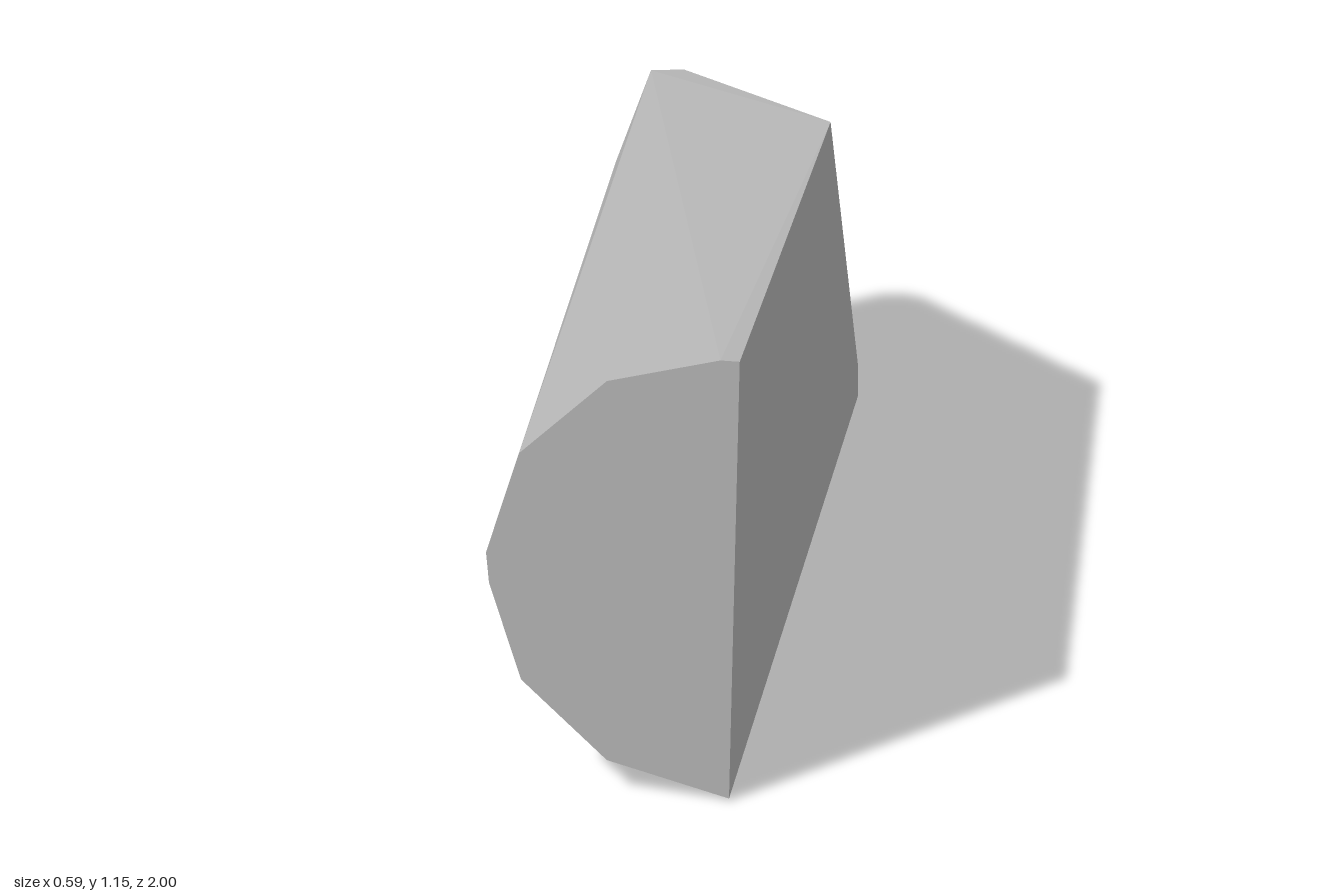
import * as THREE from 'three';
import { ConvexGeometry } from 'three/addons/geometries/ConvexGeometry.js';

// Turn an outline of [x, y] pairs into points at depth z
const outline = (pairs, z) => pairs.map(([x, y]) => new THREE.Vector3(x, y, z));

export function createModel() {
  const group = new THREE.Group();
  group.name = 'facetedBlock';
  const grey = new THREE.MeshStandardMaterial({ color: 0xb8b8b8 });
  grey.name = 'stone grey';

  // Large half-round front end
  const front = outline([
    [0.295, 1.15], [0.25, 1.15], [-0.015, 1.075], [-0.22, 0.87], [-0.297, 0.605],
    [-0.29, 0.525], [-0.215, 0.278], [-0.015, 0.083], [0.27, 0.005],
  ], 1);

  // Smaller back end, cut off towards its upper corner
  const back = outline([
    [-0.135, 0.822], [-0.212, 0.814], [-0.295, 0.565], [-0.208, 0.305],
    [0.053, 0.062], [0.271, 0], [0.271, 0.08],
  ], -1);

  // Top corner of the slanted cut
  const cutCorner = new THREE.Vector3(0.273, 0.95, -0.56);

  const body = new THREE.Mesh(new ConvexGeometry([...front, ...back, cutCorner]), grey);
  body.name = 'body';
  group.add(body);
  return group;
}
